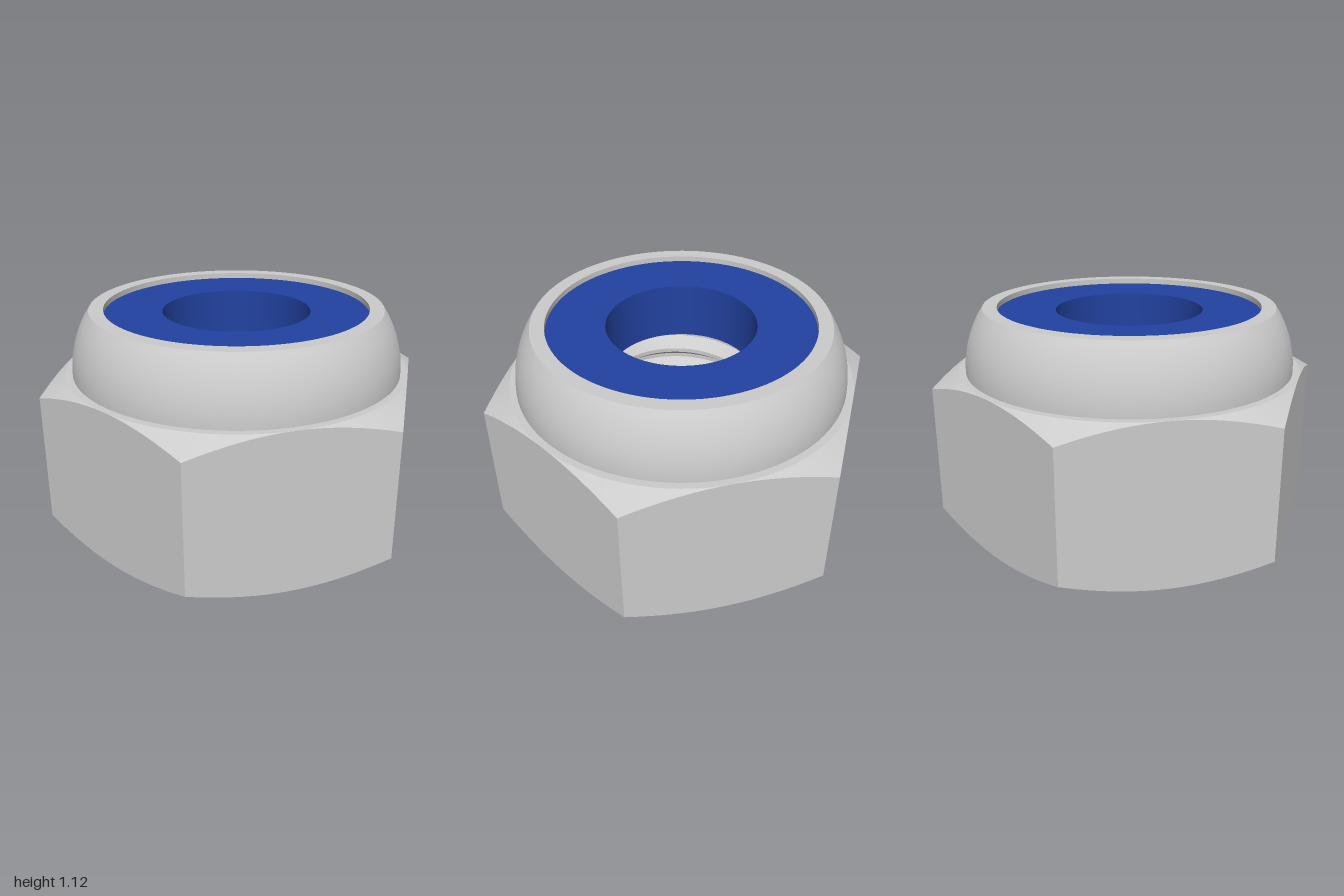
import * as THREE from 'three';
import { toCreasedNormals } from 'three/addons/utils/BufferGeometryUtils.js';

const SIDES = 96;            // columns around the axis, a multiple of 6
const FLAT = 0.866;          // centre to flat
const TOP = 0.81;            // height of the hexagonal body
const MOUTH = 0.47;          // radius of the countersunk hole at the base
const PITCH = 0.142;

// Surface around the y axis: ring(row, angle) returns [radius, height]
function ringSurface(rows, ring) {
  const pos = [], index = [];
  for (let i = 0; i <= SIDES; i++) {
    const a = (i / SIDES) * Math.PI * 2;
    for (let j = 0; j < rows; j++) {
      const [r, y] = ring(j, a);
      pos.push(r * Math.sin(a), y, r * Math.cos(a));
      if (i < SIDES && j < rows - 1) {
        const p = i * rows + j, q = p + rows;
        index.push(p, q, p + 1, q, q + 1, p + 1);
      }
    }
  }
  const g = new THREE.BufferGeometry();
  g.setAttribute('position', new THREE.Float32BufferAttribute(pos, 3));
  g.setIndex(index);
  return toCreasedNormals(g, 0.4);
}

const lathe = (points) => ringSurface(points.length, (j) => points[j]);

// Hexagon whose corners are cut by a 30 degree cone at both ends
function hexBody() {
  const sector = Math.PI / 3;
  return ringSurface(6, (j, a) => {
    const R = FLAT / Math.cos(((a + sector / 2) % sector) - sector / 2);
    const cut = (R - FLAT) * 0.57;
    return [[MOUTH, 0], [FLAT, 0], [R, cut], [R, TOP - cut], [FLAT, TOP], [0.82, TOP]][j];
  });
}

// Right-hand helical thread, running out into the countersink at the base
function threadedBore() {
  const profile = [[0, 0.375], [0.16, 0.375], [0.33, 0.405], [0.5, 0.437], [0.66, 0.437], [0.83, 0.405]];
  const n = profile.length, turns = 8, high = 0.8;
  return ringSurface(turns * n + 1, (j, a) => {
    const [phase, radius] = profile[(n - (j % n)) % n];
    const turn = turns - 1 - Math.ceil(j / n);
    const y = THREE.MathUtils.clamp(PITCH * (turn + phase + a / (Math.PI * 2)), 0, high);
    return [y >= high ? 0.437 : Math.max(radius, MOUTH - y * 1.0), y];
  });
}

// Domed collar crimped inwards over the insert
function collarShape() {
  const points = [[0.83, TOP - 0.01]];
  const radius = 0.53, sweep = 0.62;
  for (let i = 0; i <= 12; i++) {
    const t = (i / 12) * sweep;
    points.push([0.83 - radius * (1 - Math.cos(t)), TOP + 0.005 + radius * Math.sin(t)]);
  }
  const rim = points[points.length - 1][1];
  points.push([0.66, rim], [0.66, 0.8]);
  return lathe(points);
}

export function createModel() {
  const group = new THREE.Group();
  const steel = new THREE.MeshStandardMaterial({ color: 0xcccccc });
  const nylon = new THREE.MeshStandardMaterial({ color: 0x2242a0 });
  const add = (name, geometry, material) => {
    const mesh = new THREE.Mesh(geometry, material);
    mesh.name = name;
    group.add(mesh);
  };

  add('hexBody', hexBody(), steel);
  add('threadedBore', threadedBore(), steel);
  add('collar', collarShape(), steel);
  // Plain ring seated just below the collar rim
  add('lockingInsert', lathe([[0.66, 0.8], [0.66, 1.095], [0.37, 1.095], [0.37, 0.8], [0.66, 0.8]]), nylon);
  return group;
}
